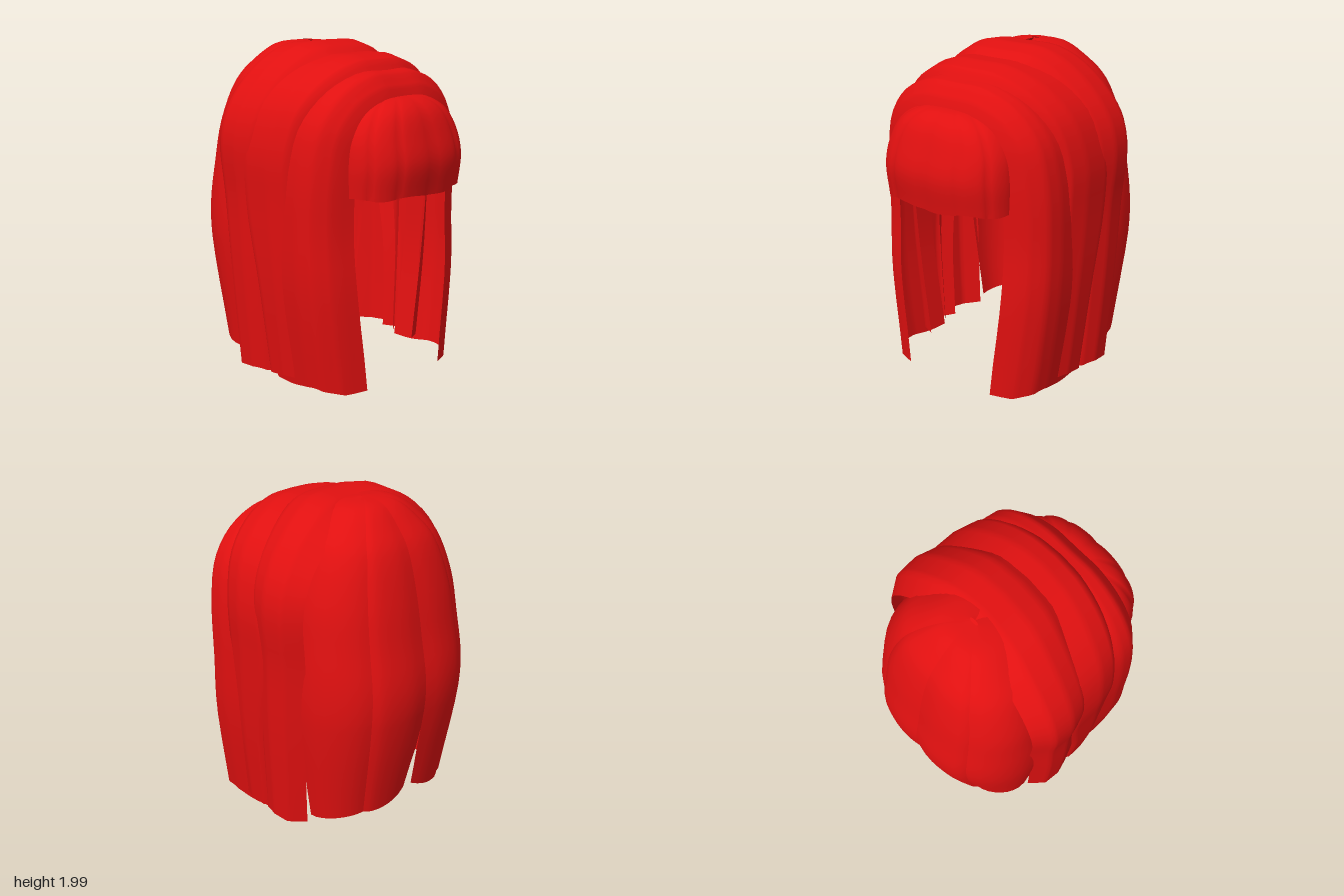
import * as THREE from 'three';
import { ParametricGeometry } from 'three/addons/geometries/ParametricGeometry.js';

const hairRed = new THREE.MeshStandardMaterial({ color: 0xe01010, side: THREE.DoubleSide });
hairRed.name = 'hairRed';

function sheet(name, fn, nu, nv) {
  const geo = new ParametricGeometry(fn, nu, nv);
  geo.computeVertexNormals();
  const mesh = new THREE.Mesh(geo, hairRed);
  mesh.name = name;
  return mesh;
}

// Linear lookup in a list of [key, value]
function lookup(list, u) {
  let i = 1;
  while (i < list.length - 1 && u > list[i][0]) i++;
  const [a, p] = list[i - 1], [b, q] = list[i];
  return p + (q - p) * (u - a) / (b - a);
}

// Band draped over the head: rows are [x, y, zFront, zBack] from the parting down,
// section is [u, inset] from front edge to back edge
function band(name, rows, section, ragged) {
  const front = new THREE.CatmullRomCurve3(rows.map(r => new THREE.Vector3(r[0], r[1], r[2])));
  const back = new THREE.CatmullRomCurve3(rows.map(r => new THREE.Vector3(r[0], r[1], r[3])));
  return sheet(name, (u, v, out) => {
    const side = v < 0.5 ? -1 : 1, t = Math.abs(v * 2 - 1);
    const f = front.getPoint(t), b = back.getPoint(t);
    const d = front.getPoint(Math.min(1, t + 0.01)).sub(front.getPoint(Math.max(0, t - 0.01)));
    const len = Math.hypot(d.x, d.y), inset = lookup(section, u);
    const nx = t < 0.001 ? 0 : -d.y / len, ny = t < 0.001 ? 1 : d.x / len;
    const tip = t > 0.97 ? ragged * (u - 1) * Math.cos(u * 7) : 0;
    out.set(side * (f.x - nx * inset), f.y - ny * inset + tip, f.z + (b.z - f.z) * u);
  }, 20, 48);
}

// Curved lock hanging from a dome: keys are [y, halfWidth, depth] from top to tip
function lock(name, o) {
  const curve = new THREE.CatmullRomCurve3(o.keys.map(k => new THREE.Vector3(k[1], k[0], k[2])));
  const soft = a => Math.sign(a) * Math.pow(Math.abs(a), 0.8);
  return sheet(name, (w, t, out) => {
    const k = curve.getPoint(t);
    const [a, b] = o.range(t);
    const phi = a + (b - a) * w;
    const lobe = Math.abs(2 * ((w * o.lobes) % 1) - 1);
    const r = o.scale * (1 - o.groove * Math.pow(lobe, 4));
    out.set(
      (o.side || 1) * k.x * r * soft(Math.sin(phi)),
      k.y + o.tip(w) * Math.pow(t, 8),
      o.z + o.dir * k.z * r * soft(Math.cos(phi)));
  }, o.lobes * 8, 32);
}

export function createModel() {
  const model = new THREE.Group();
  model.name = 'hair';

  // Three overlapping bands, front to back
  model.add(band('frontBand', [
    [0, 1.845, 0.58, 0.2], [0.2, 1.84, 0.58, 0.2], [0.42, 1.75, 0.57, 0.17], [0.57, 1.58, 0.56, 0.12],
    [0.63, 1.33, 0.55, 0.08], [0.64, 0.95, 0.54, 0.06], [0.63, 0.6, 0.56, 0.05], [0.555, 0.01, 0.575, 0.04],
  ], [[0, 0.23], [0.1, 0.1], [0.28, 0.015], [0.5, 0], [1, 0.02]], 0.03));
  model.add(band('middleBand', [
    [0, 1.93, 0.44, 0], [0.2, 1.92, 0.43, -0.03], [0.42, 1.83, 0.4, -0.1], [0.59, 1.66, 0.35, -0.15],
    [0.665, 1.4, 0.31, -0.2], [0.66, 1.1, 0.3, -0.2], [0.635, 0.6, 0.28, -0.1], [0.58, 0.05, 0.26, -0.05],
  ], [[0, 0.13], [0.15, 0.03], [0.4, 0], [0.75, 0], [1, 0.06]], 0.01));
  model.add(band('crownBand', [
    [0, 1.995, 0.2, -0.3], [0.22, 1.985, 0.18, -0.32], [0.4, 1.9, 0.14, -0.35],
    [0.57, 1.74, 0.1, -0.37], [0.66, 1.58, 0.07, -0.38], [0.69, 1.4, 0.05, -0.38], [0.665, 1.1, 0.05, -0.37],
    [0.65, 0.65, 0.05, -0.34], [0.61, 0.05, 0.06, -0.31],
  ], [[0, 0.1], [0.2, 0.03], [0.45, 0], [0.75, 0.01], [1, 0.09]], 0.012));

  // Fringe over the forehead
  model.add(lock('fringe', {
    keys: [[1.71, 0.08, 0.06], [1.69, 0.22, 0.17], [1.62, 0.35, 0.25], [1.5, 0.43, 0.3],
      [1.35, 0.455, 0.335], [1.16, 0.45, 0.31]],
    z: 0.45, dir: 1, scale: 1, lobes: 6, groove: 0.03,
    range: () => [-1.5, 1.5], tip: w => 0.008 * Math.sin(w * 20),
  }));

  // Back of the head, mirrored pairs
  const dome = [[1.99, 0.03, 0.01], [1.965, 0.2, 0.16], [1.87, 0.34, 0.27], [1.75, 0.45, 0.36],
    [1.5, 0.55, 0.44], [1.25, 0.585, 0.49], [1, 0.605, 0.535], [0.78, 0.605, 0.53], [0.17, 0.54, 0.41]];
  for (const side of [-1, 1]) {
    const name = side > 0 ? 'left' : 'right';
    model.add(lock(name + 'BackLock', {
      keys: dome, side, z: -0.25, dir: -1, scale: 1, lobes: 1, groove: 0.04,
      range: t => [0.033 * Math.max(0, t - 0.93) / 0.07, 0.62 - 0.03 * t],
      tip: w => 0.07 * Math.pow(1 - w, 3),
    }));
    // Side lock closes the crown under the bands at its top
    model.add(lock(name + 'SideLock', {
      keys: dome, side, z: -0.25, dir: -1, scale: 0.98, lobes: 1, groove: 0.03,
      range: t => [0.5 + 0.06 * t ** 6, 1.57 - 0.14 * t ** 8 + 1.57 * Math.max(0, 1 - t / 0.4)],
      tip: w => -0.06 * w,
    }));
    // Shorter layer inside the back
    model.add(lock(name + 'InnerLock', {
      keys: [[1.6, 0.52, 0.41], [1.25, 0.58, 0.48], [1, 0.6, 0.52], [0.79, 0.6, 0.52]],
      side, z: -0.25, dir: -1, scale: 0.9, lobes: 3, groove: 0.03,
      range: () => [0, 0.85], tip: w => -0.02 * Math.sin(w * Math.PI),
    }));
  }
  return model;
}
